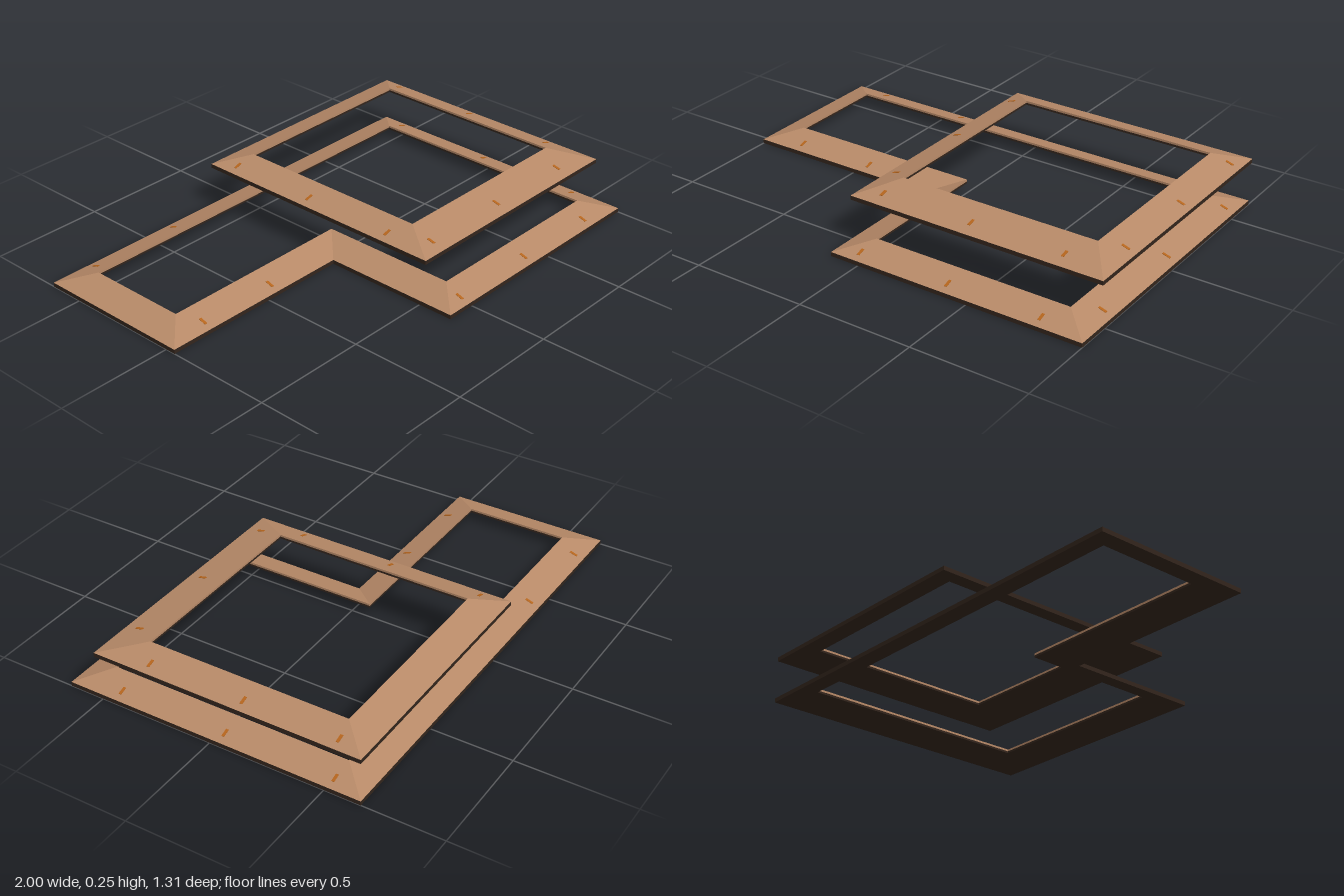
import * as THREE from 'three';

const wood = new THREE.MeshStandardMaterial({ color: 0xb88a68 });
wood.name = 'timber brown';
const dark = new THREE.MeshStandardMaterial({ color: 0x33251c });
dark.name = 'dark brown';
const amber = new THREE.MeshStandardMaterial({ color: 0xb5651d });
amber.name = 'amber';

const THICK = 0.018, RISE = 0.042;

// Flat quads joining two matching closed rings of points
function band(name, ringA, ringB, material) {
  const pos = [];
  ringA.forEach((a, i) => {
    const j = (i + 1) % ringA.length;
    const b = ringB[i], c = ringB[j], d = ringA[j];
    pos.push(...a, ...b, ...c, ...a, ...c, ...d);
  });
  const geo = new THREE.BufferGeometry();
  geo.setAttribute('position', new THREE.Float32BufferAttribute(pos, 3));
  geo.computeVertexNormals();
  const mesh = new THREE.Mesh(geo, material);
  mesh.name = name;
  return mesh;
}

// Sloping mitred roof skirt around an open centre; outlines are [x, z] pairs
function roofSkirt(name, outer, inner, y) {
  const ring = (pts, h) => pts.map(([x, z]) => [x, y + h, z]);
  const group = new THREE.Group();
  group.name = name;
  const top = RISE + THICK, mid = RISE + THICK / 2;
  group.add(
    band('roofSlope', ring(outer, THICK), ring(inner, top), wood),
    band('fascia', ring(outer, 0), ring(outer, THICK), dark),
    band('innerTrim', ring(inner, top), ring(inner, mid), wood),
    band('innerEdge', ring(inner, mid), ring(inner, RISE), dark),
    band('soffit', ring(inner, RISE), ring(outer, 0), dark)
  );
  return group;
}

// Small flush plate lying on a slope; turn is the compass side the slope faces
function spot(group, x, z, y, edgeDistance, width, turn) {
  const plate = new THREE.Mesh(new THREE.BoxGeometry(0.012, 0.003, 0.034), amber);
  plate.name = 'lampSpot';
  plate.position.set(x, y + THICK + RISE * edgeDistance / width, z);
  plate.rotation.order = 'YXZ';
  plate.rotation.set(Math.atan2(RISE, width), turn, 0);
  group.add(plate);
}

export function createModel() {
  const model = new THREE.Group();
  model.name = 'roofs';

  // Lower L-shaped skirt
  const lower = roofSkirt('lowerRoof',
    [[-1, -0.655], [1, -0.655], [1, 0.655], [-0.13, 0.655], [-0.13, 0.045], [-1, 0.045]],
    [[-0.873, -0.528], [0.873, -0.528], [0.873, 0.528], [-0.003, 0.528], [-0.003, -0.082], [-0.873, -0.082]],
    0);

  // Upper rectangular skirt with a deeper front slope
  const upperY = 0.19;
  const upper = roofSkirt('upperRoof',
    [[-0.13, -0.655], [1, -0.655], [1, 0.525], [-0.13, 0.525]],
    [[-0.003, -0.528], [0.873, -0.528], [0.873, 0.35], [-0.003, 0.35]],
    upperY);

  // Lamp spots
  const W = 0.127;
  for (const x of [-0.82, -0.4]) spot(lower, x, -0.61, 0, 0.045, W, Math.PI);
  for (const x of [-0.81, -0.45]) spot(lower, x, 0, 0, 0.045, W, 0);
  for (const x of [-0.02, 0.39, 0.8]) {
    spot(lower, x, 0.61, 0, 0.045, W, 0);
    spot(upper, x, 0.46, upperY, 0.065, 0.175, 0);
  }
  for (const z of [-0.52, -0.04, 0.44]) spot(lower, 0.955, z, 0, 0.045, W, Math.PI / 2);
  for (const z of [-0.54, -0.13, 0.29]) {
    spot(upper, 0.955, z, upperY, 0.045, W, Math.PI / 2);
    spot(upper, -0.085, z, upperY, 0.045, W, -Math.PI / 2);
  }

  model.add(lower, upper);
  return model;
}
